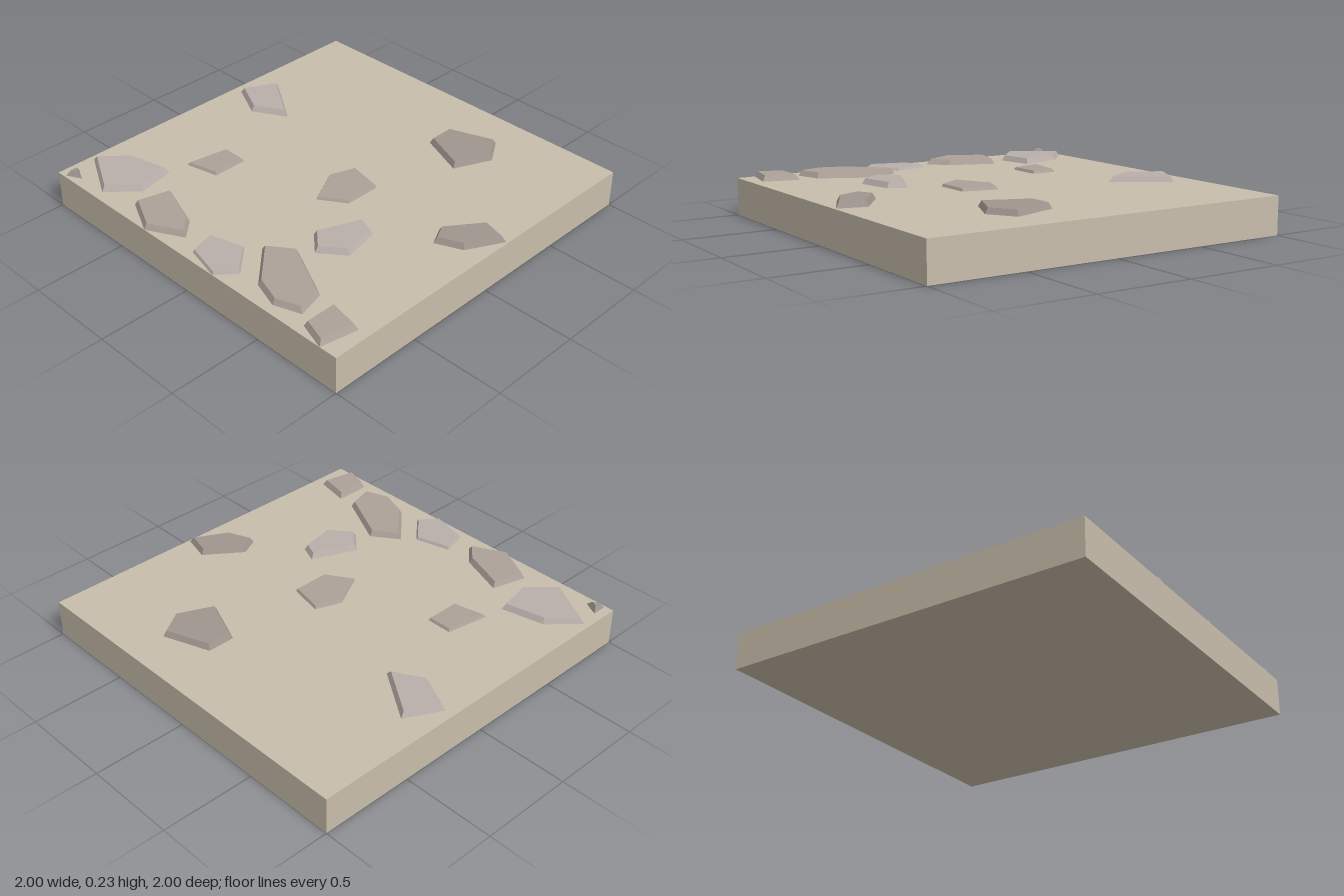
import * as THREE from 'three';
import { ConvexGeometry } from 'three/addons/geometries/ConvexGeometry.js';

const SLAB_TOP = 0.2;
const LIGHT = 0xb9afab, MID = 0xaca199, DARK = 0x9f958f;

// Outlines as [x, z] corners, clockwise seen from above
const STONES = [
  { color: DARK, h: 0.03, pts: [[-0.99, -0.95], [-0.91, -0.95], [-0.95, -0.87]] },
  { color: LIGHT, h: 0.03, pts: [[-0.8, -0.97], [-0.65, -0.83], [-0.6, -0.6], [-0.8, -0.56], [-0.95, -0.7]] },
  { color: MID, h: 0.03, pts: [[-0.9, -0.5], [-0.71, -0.45], [-0.8, -0.2], [-0.9, -0.11], [-1, -0.3]] },
  { color: LIGHT, h: 0.015, pts: [[-0.95, 0], [-0.81, -0.04], [-0.76, 0.15], [-0.9, 0.28], [-1, 0.2]] },
  { color: MID, h: 0.03, pts: [[-0.7, 0.21], [-0.6, 0.35], [-0.75, 0.65], [-0.9, 0.69], [-0.95, 0.55], [-0.9, 0.4]] },
  { color: MID, h: 0.03, pts: [[-0.95, 0.75], [-0.76, 0.75], [-0.8, 0.94], [-1, 0.9]] },
  { color: MID, h: 0.015, pts: [[-0.49, -0.59], [-0.26, -0.55], [-0.26, -0.41], [-0.45, -0.41]] },
  { color: LIGHT, h: 0.03, pts: [[0.2, -0.95], [0.39, -0.85], [0.2, -0.57], [0.1, -0.75]] },
  { color: MID, h: 0.015, pts: [[-0.05, 0], [0.09, 0.05], [0.05, 0.24], [-0.15, 0.24], [-0.24, 0.1]] },
  { color: LIGHT, h: 0.03, pts: [[-0.45, 0.3], [-0.21, 0.4], [-0.25, 0.5], [-0.45, 0.54], [-0.55, 0.41]] },
  { color: DARK, h: 0.03, pts: [[0.55, 0.15], [0.7, 0.15], [0.79, 0.4], [0.65, 0.49], [0.45, 0.4]] },
  { color: DARK, h: 0.03, pts: [[0, 0.7], [0.19, 0.84], [0.15, 0.99], [-0.04, 0.89], [-0.1, 0.75]] },
];

// Move every edge of a convex outline inwards by d
function inset(pts, d) {
  const v = pts.map(([x, z]) => new THREE.Vector2(x, z));
  return v.map((p, i) => {
    const a = p.clone().sub(v[(i + v.length - 1) % v.length]).normalize();
    const b = v[(i + 1) % v.length].clone().sub(p).normalize();
    const na = new THREE.Vector2(-a.y, a.x), nb = new THREE.Vector2(-b.y, b.x);
    const q = na.clone().add(nb).multiplyScalar(d / (1 + na.dot(nb))).add(p);
    return [q.x, q.y];
  });
}

function stone({ color, h, pts }, i) {
  const at = (list, y) => list.map(([x, z]) => new THREE.Vector3(x, y, z));
  const top = inset(pts, h * 0.5);
  const geo = new ConvexGeometry([...at(pts, SLAB_TOP), ...at(top, SLAB_TOP + h)]);
  const mesh = new THREE.Mesh(geo, new THREE.MeshStandardMaterial({ color, flatShading: true }));
  mesh.name = `pavingStone${i + 1}`;
  return mesh;
}

export function createModel() {
  const model = new THREE.Group();
  model.name = 'stonyGroundTile';

  // Square ground slab
  const slab = new THREE.Mesh(
    new THREE.BoxGeometry(2, SLAB_TOP, 2),
    new THREE.MeshStandardMaterial({ color: 0xc8bdab, flatShading: true }),
  );
  slab.position.y = SLAB_TOP / 2;
  slab.name = 'groundSlab';
  model.add(slab);

  // Bevelled flat stones scattered on top
  const stones = new THREE.Group();
  stones.name = 'stones';
  STONES.forEach((s, i) => stones.add(stone(s, i)));
  model.add(stones);
  return model;
}
